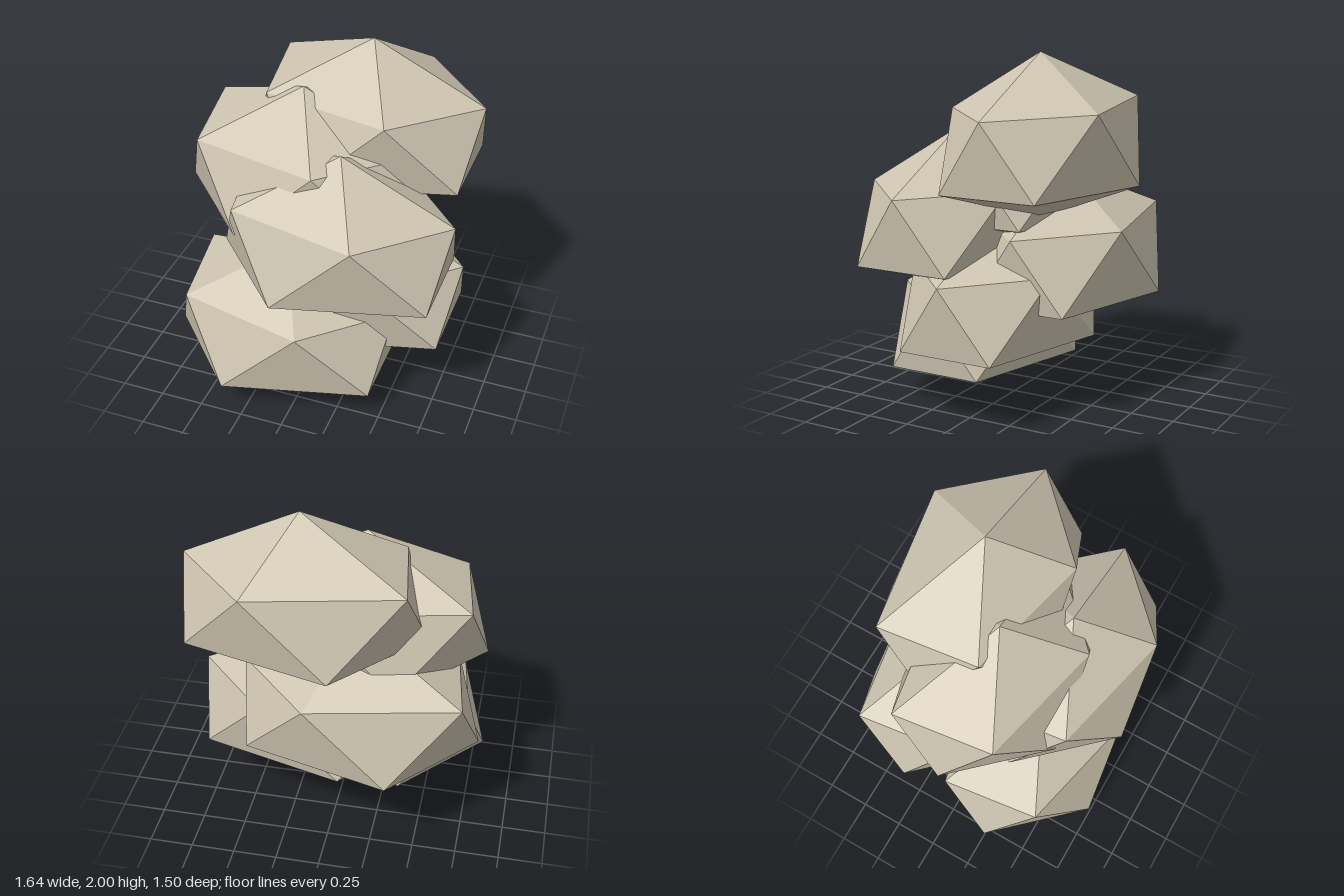
import * as THREE from 'three';
import { ConvexGeometry } from 'three/addons/geometries/ConvexGeometry.js';

export function createModel() {
  const group = new THREE.Group();
  group.name = 'stackedRocks';
  const stone = new THREE.MeshStandardMaterial({ color: 0xcdc4b0 });
  stone.name = 'paleStone';
  stone.flatShading = true;

  // One faceted boulder, measured from its top point: apex, upper ring, lower ring, base point
  const corners = [
    [0, 0, 0],
    [0.64, -0.31, 0], [0.2, -0.3, 0.43], [-0.53, -0.3, 0.26], [-0.61, -0.27, -0.3], [0.22, -0.29, -0.45],
    [0.58, -0.71, 0.28], [-0.235, -0.72, 0.48], [-0.69, -0.7, 0], [-0.235, -0.72, -0.485], [0.58, -0.71, -0.28],
    [0, -0.9, 0],
  ].map((p) => new THREE.Vector3(...p));
  const boulder = new ConvexGeometry(corners);

  // Six equal boulders climb in even steps, alternating sides and cycling front to back
  const depths = [0.27, 0, -0.26];
  const order = [0, 1, 2, 0, 1, 2];
  order.forEach((d, i) => {
    const rock = new THREE.Mesh(boulder, stone);
    rock.name = `boulder${i + 1}`;
    rock.position.set(i % 2 === 0 ? -0.13 : 0.18, 0.9 + 0.22 * i, depths[d]);
    group.add(rock);
  });
  return group;
}
